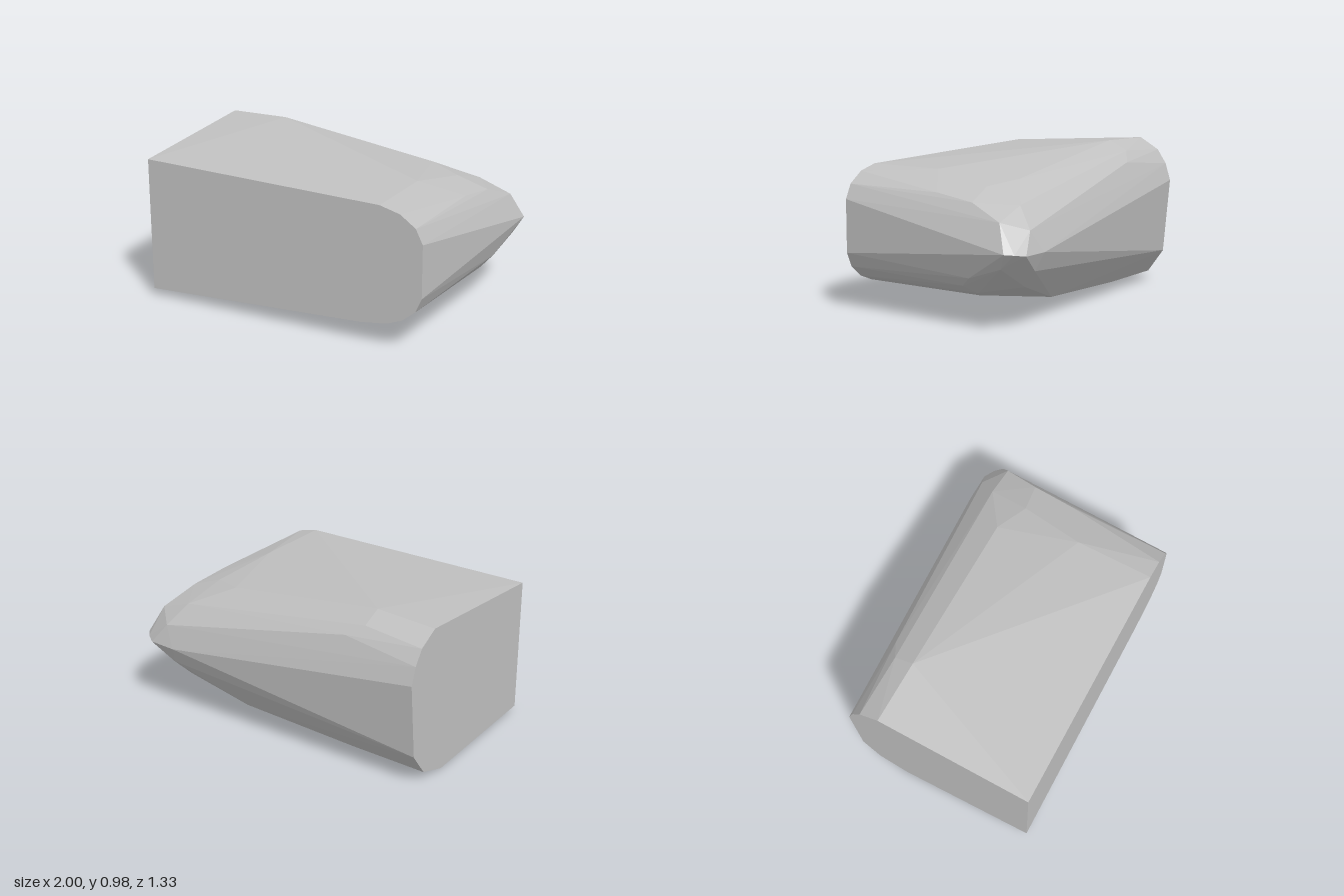
import * as THREE from 'three';
import { ConvexGeometry } from 'three/addons/geometries/ConvexGeometry.js';

// Flat front cut at z = 0.665: [x, y]
const frontOutline = [
  [-1, 0.05], [-1, 0.91], [0.6, 0.883], [0.73, 0.85], [0.83, 0.78], [0.875, 0.69],
  [0.875, 0.36], [0.835, 0.27], [0.75, 0.2], [0.65, 0.16], [0.48, 0.135],
];

// Flat side cut at x = -1: [z, y]
const sideOutline = [
  [-0.33, 0.975], [-0.46, 0.9], [-0.52, 0.81], [-0.555, 0.7],
  [-0.51, 0.22], [-0.4, 0.07], [-0.21, 0.005],
];

// Ridges swelling from the side cut towards the rounded corner: [x, y, z]
const topRidge = [
  [-0.6, 0.985, -0.32], [-0.6, 0.925, -0.445], [-0.5, 0.86, -0.505],
  [0.6, 0.88, 0.17], [0.47, 0.84, -0.33], [0.68, 0.81, -0.24],
  [0.72, 0.725, -0.5], [0.84, 0.775, 0], [0.87, 0.74, -0.27],
];
const bottomRidge = [
  [-0.55, 0.02, -0.21], [-0.5, 0.075, -0.41], [0.3, 0.115, -0.445],
  [0.6, 0.145, -0.1], [0.7, 0.165, -0.2], [0.79, 0.2, -0.25],
  [0.87, 0.25, -0.2], [0.92, 0.31, -0.28],
];

// Blunt tip where the ridges meet
const tip = [
  [0.93, 0.65, -0.5], [0.8, 0.6, -0.62], [0.72, 0.47, -0.665], [0.9, 0.47, -0.66],
  [0.96, 0.48, -0.62], [1, 0.485, -0.575], [0.95, 0.39, -0.52], [0.75, 0.36, -0.62],
  [0.7, 0.25, -0.52],
];

export function createModel() {
  const group = new THREE.Group();
  const grey = new THREE.MeshStandardMaterial({ color: 0xc0c0c0 });
  grey.name = 'stone grey';

  const points = [
    ...frontOutline.map(([x, y]) => new THREE.Vector3(x, y, 0.665)),
    ...sideOutline.map(([z, y]) => new THREE.Vector3(-1, y, z)),
    ...[topRidge, bottomRidge, tip].flat().map((p) => new THREE.Vector3(...p)),
  ];

  // Faceted convex block wrapped around the outlines and ridges
  const block = new THREE.Mesh(new ConvexGeometry(points), grey);
  block.name = 'facetedBlock';
  group.add(block);
  return group;
}
